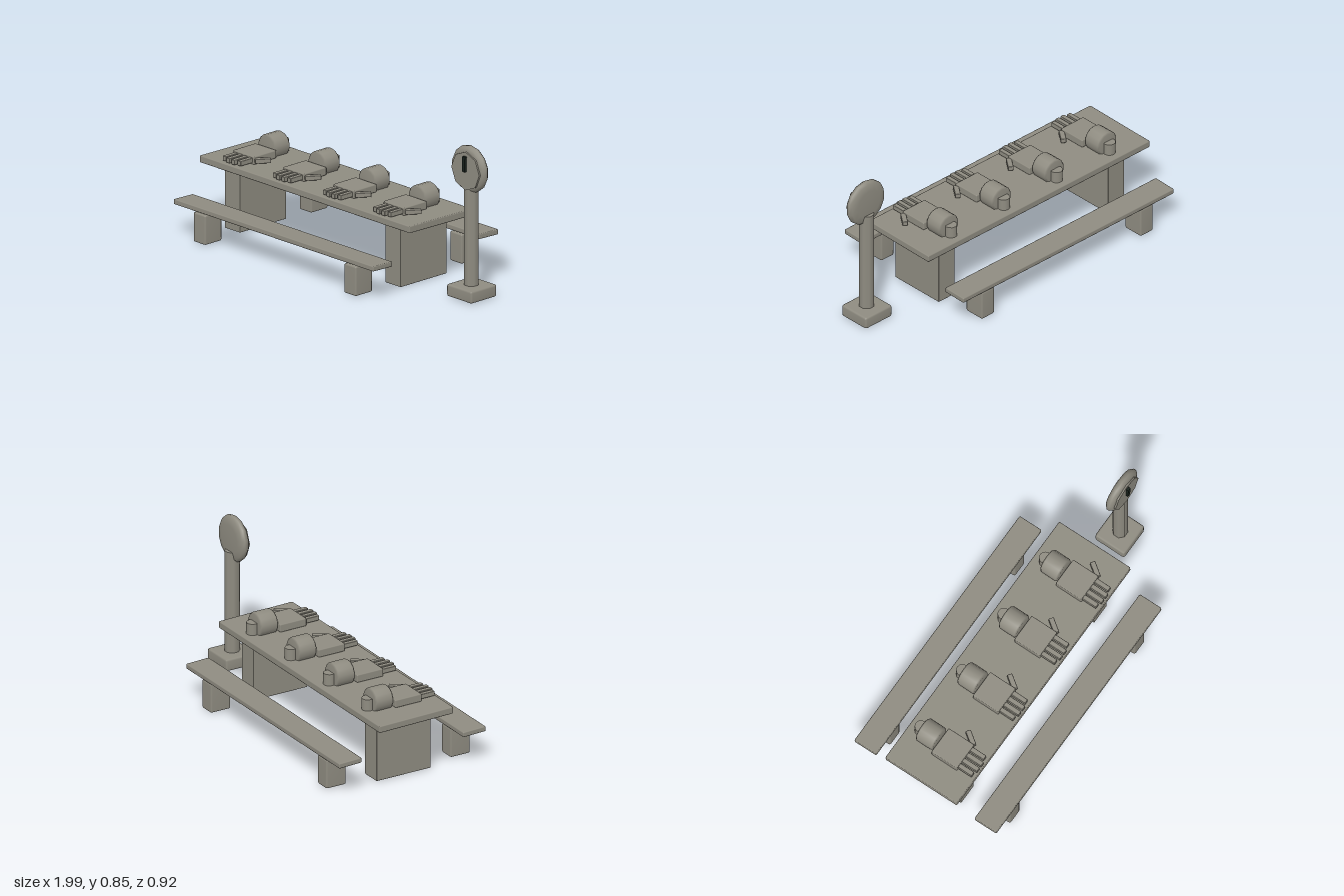
import * as THREE from 'three';
import { mergeVertices } from 'three/addons/utils/BufferGeometryUtils.js';
import { RoundedBoxGeometry } from 'three/addons/geometries/RoundedBoxGeometry.js';

export function createModel() {
  const model = new THREE.Group();
  const stone = new THREE.MeshStandardMaterial({ color: 0x8f8c81 });
  stone.name = 'stone grey';
  const dark = new THREE.MeshStandardMaterial({ color: 0x18211c });
  dark.name = 'dark marker';

  const add = (parent, name, geometry, x, y, z, material = stone) => {
    const mesh = new THREE.Mesh(geometry, material);
    mesh.name = name;
    mesh.position.set(x, y, z);
    parent.add(mesh);
    return mesh;
  };
  const block = (w, h, d, r = 0.006) => new RoundedBoxGeometry(w, h, d, 1, r);
  // Worn block: chamfered box with normals averaged over its edges
  const softBlock = (w, h, d, r) => {
    let g = block(w, h, d, r);
    g.deleteAttribute('normal');
    g.deleteAttribute('uv');
    g = mergeVertices(g, 1e-4);
    g.computeVertexNormals();
    return g;
  };

  // Table: slightly tilted slab on two block legs
  add(model, 'tableTop', block(1.63, 0.04, 0.464), -0.185, 0.372, 0).rotation.x = -0.015;
  for (const x of [-0.81, 0.436]) {
    add(model, 'tableLeg', block(0.118, 0.34, 0.34, 0.004), x, 0.174, 0);
  }

  // Benches on both long sides
  for (const side of [1, -1]) {
    const bench = new THREE.Group();
    bench.name = side > 0 ? 'frontBench' : 'backBench';
    model.add(bench);
    add(bench, 'benchSeat', block(1.55, 0.03, 0.142), -0.185, 0.196, side * 0.39).rotation.x = -0.03;
    for (const x of [-0.77, 0.398]) {
      add(bench, 'benchLeg', softBlock(0.094, 0.168, 0.124, 0.01), x, 0.089, side * 0.39);
    }
  }

  // Hands resting palm-down along the table
  for (let i = 0; i < 4; i++) {
    const hand = new THREE.Group();
    hand.name = 'hand' + (i + 1);
    hand.position.set(-0.767 + i * 0.3885, 0, 0);
    model.add(hand);
    add(hand, 'palm', block(0.164, 0.046, 0.166, 0.006), 0, 0.416, 0.045);
    [-0.057, -0.02, 0.018, 0.056].forEach((x, k) => {
      const length = k === 0 || k === 3 ? 0.095 : 0.105;
      add(hand, 'finger', block(0.027, 0.028, length, 0.004), x, 0.416, 0.12 + length / 2);
    });
    add(hand, 'thumb', block(0.03, 0.026, 0.088, 0.004), 0.107, 0.416, 0.088).rotation.y = Math.PI - 0.62;

    // Rounded cuff with softened rims, and the stub behind it
    const profile = [[0, -0.056], [0.062, -0.056], [0.07, -0.047], [0.07, 0.047], [0.062, 0.056], [0, 0.056]]
      .map(([r, y]) => new THREE.Vector2(r, y));
    const cuff = add(hand, 'cuff', new THREE.LatheGeometry(profile, 14), 0, 0.434, -0.096);
    cuff.rotation.x = Math.PI / 2;
    add(hand, 'wristStub', new THREE.CylinderGeometry(0.034, 0.034, 0.075, 12), 0, 0.417, -0.162);
  }

  // Standing post with a round dial
  const post = new THREE.Group();
  post.name = 'dialPost';
  post.position.x = 0.865;
  model.add(post);
  add(post, 'postBase', softBlock(0.194, 0.07, 0.19, 0.012), 0, 0.04, -0.002);
  add(post, 'postColumn', new THREE.CylinderGeometry(0.042, 0.042, 0.59, 8), 0, 0.365, 0).rotation.y = Math.PI / 8;
  const rim = [[0, -0.02], [0.08, -0.02], [0.118, -0.012], [0.131, 0.002], [0.131, 0.016],
    [0.12, 0.03], [0.1, 0.036], [0, 0.036]].map(([r, y]) => new THREE.Vector2(r, y));
  add(post, 'dialDisc', new THREE.LatheGeometry(rim, 14), 0, 0.728, 0).rotation.x = Math.PI / 2;
  add(post, 'dialFace', new THREE.CylinderGeometry(0.108, 0.108, 0.01, 8), 0, 0.722, 0.04).rotation.x = Math.PI / 2;
  const pointer = add(post, 'dialPointer', new THREE.BoxGeometry(0.02, 0.086, 0.015), 0, 0.763, 0.052, dark);
  pointer.rotation.z = -0.04;

  return model;
}
